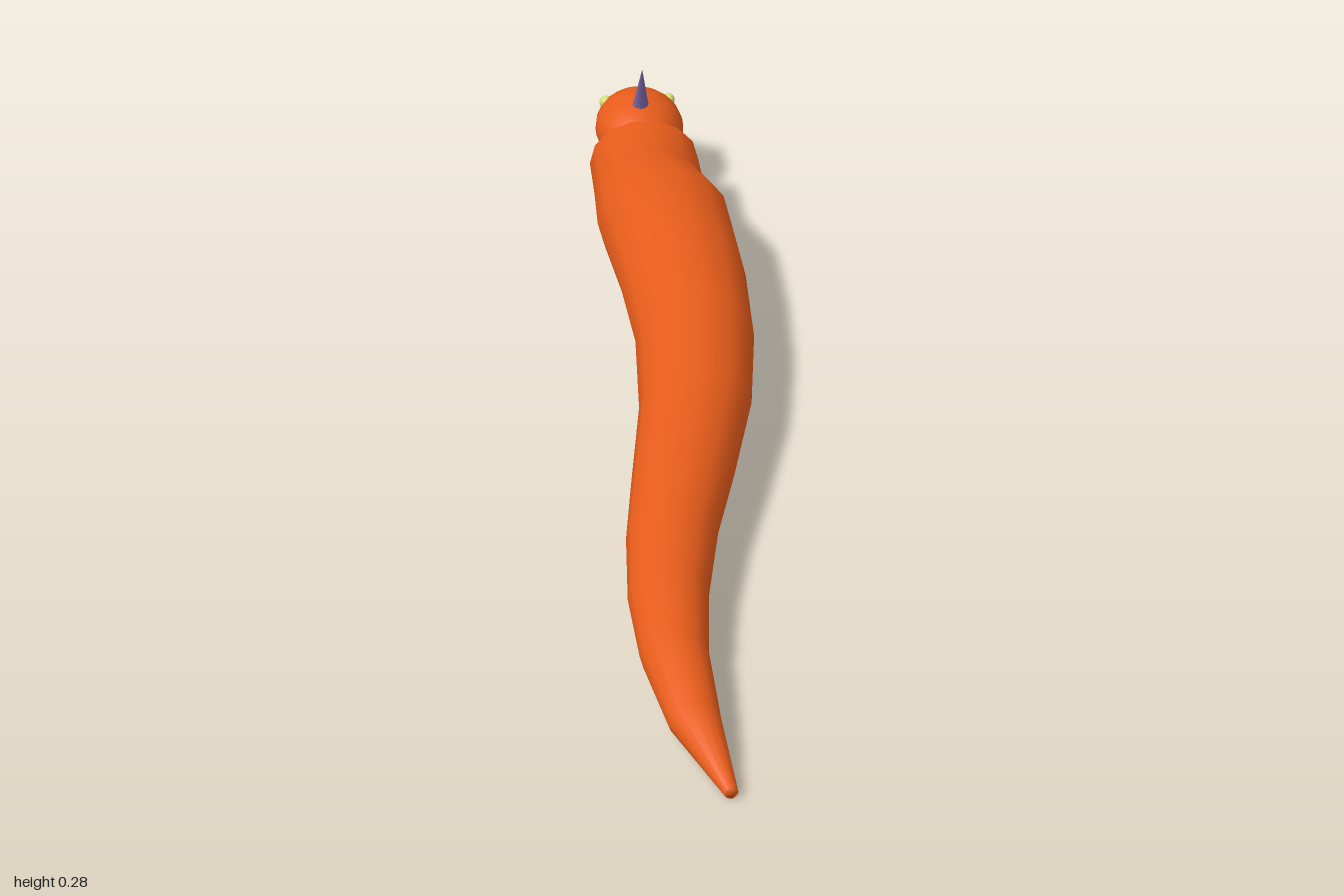
import * as THREE from 'three';

const mat = (name, color, side = THREE.FrontSide) =>
  Object.assign(new THREE.MeshStandardMaterial({ color, side }), { name });

// Cross-sections from tail tip to neck: z, left edge x, right edge x, bottom y, top y
const RINGS = [
  [1.0, -0.037, -0.017, 0.0, 0.02],
  [0.87, -0.102, -0.027, 0.004, 0.07],
  [0.73, -0.13, -0.03, 0.007, 0.094],
  [0.6, -0.137, -0.017, 0.009, 0.111],
  [0.45, -0.128, 0.012, 0.01, 0.128],
  [0.3, -0.108, 0.053, 0.011, 0.144],
  [0.1, -0.08, 0.103, 0.013, 0.165],
  [-0.1, -0.07, 0.13, 0.014, 0.184],
  [-0.3, -0.083, 0.138, 0.015, 0.202],
  [-0.5, -0.106, 0.132, 0.016, 0.222],
  [-0.65, -0.102, 0.103, 0.018, 0.188],
  [-0.78, -0.102, 0.102, 0.019, 0.187],
];

// Tapering, winding tube: closed at the tail tip, open at the neck
function bodyGeometry(sides = 14) {
  const pos = [], idx = [];
  for (const [z, x0, x1, y0, y1] of RINGS) {
    for (let j = 0; j < sides; j++) {
      const a = (j / sides) * Math.PI * 2;
      pos.push((x0 + x1) / 2 + Math.cos(a) * (x1 - x0) / 2,
        (y0 + y1) / 2 + Math.sin(a) * (y1 - y0) / 2, z);
    }
  }
  for (let i = 0; i < RINGS.length - 1; i++) {
    for (let j = 0; j < sides; j++) {
      const k = (j + 1) % sides;
      const a = i * sides + j, b = i * sides + k;
      idx.push(a, a + sides, b, b, a + sides, b + sides);
    }
  }
  for (let j = 1; j < sides - 1; j++) idx.push(0, j, j + 1);
  const g = new THREE.BufferGeometry();
  g.setAttribute('position', new THREE.Float32BufferAttribute(pos, 3));
  g.setIndex(idx);
  g.computeVertexNormals();
  return g;
}

export function createModel() {
  const model = new THREE.Group();
  model.name = 'hornedWorm';
  const skin = mat('orange skin', 0xee5f1c, THREE.DoubleSide);
  const hornMat = mat('purple horn', 0x7f6aac);
  const eyeMat = mat('pale yellow green eye', 0xd2de7a);
  const mouthMat = mat('pale mouth', 0xd98c66);
  const fangMat = mat('grey fang', 0x8c8088);

  const add = (name, geometry, material, parent = model) => {
    const m = new THREE.Mesh(geometry, material);
    m.name = name;
    parent.add(m);
    return m;
  };
  const ellipsoid = (name, r, p, material, parent) => {
    const g = new THREE.SphereGeometry(1, 20, 14).scale(...r);
    add(name, g, material, parent).position.set(...p);
  };
  // Cone running from a base point to a tip
  const spike = (name, radius, base, tip, material, parent) => {
    const a = new THREE.Vector3(...base), d = new THREE.Vector3(...tip).sub(a);
    const g = new THREE.ConeGeometry(radius, d.length(), 8).translate(0, d.length() / 2, 0);
    const m = add(name, g, material, parent);
    m.position.copy(a);
    m.quaternion.setFromUnitVectors(new THREE.Vector3(0, 1, 0), d.normalize());
  };

  add('body', bodyGeometry(), skin);

  // Head with mouth, horn, eyes and fangs
  const head = new THREE.Group();
  head.name = 'head';
  model.add(head);
  ellipsoid('skull', [0.084, 0.068, 0.112], [0, 0.123, -0.888], skin, head);
  ellipsoid('mouth', [0.072, 0.021, 0.076], [0, 0.081, -0.917], mouthMat, head);
  spike('horn', 0.017, [0, 0.175, -0.858], [0, 0.278, -0.808], hornMat, head);
  for (const s of [-1, 1]) {
    const side = s > 0 ? 'left' : 'right';
    ellipsoid(side + 'Eye', [0.0125, 0.0125, 0.0125], [s * 0.06, 0.154, -0.94], eyeMat, head);
    spike(side + 'Fang', 0.006, [s * 0.026, 0.088, -0.978], [s * 0.026, 0.047, -0.984], fangMat, head);
  }
  return model;
}
